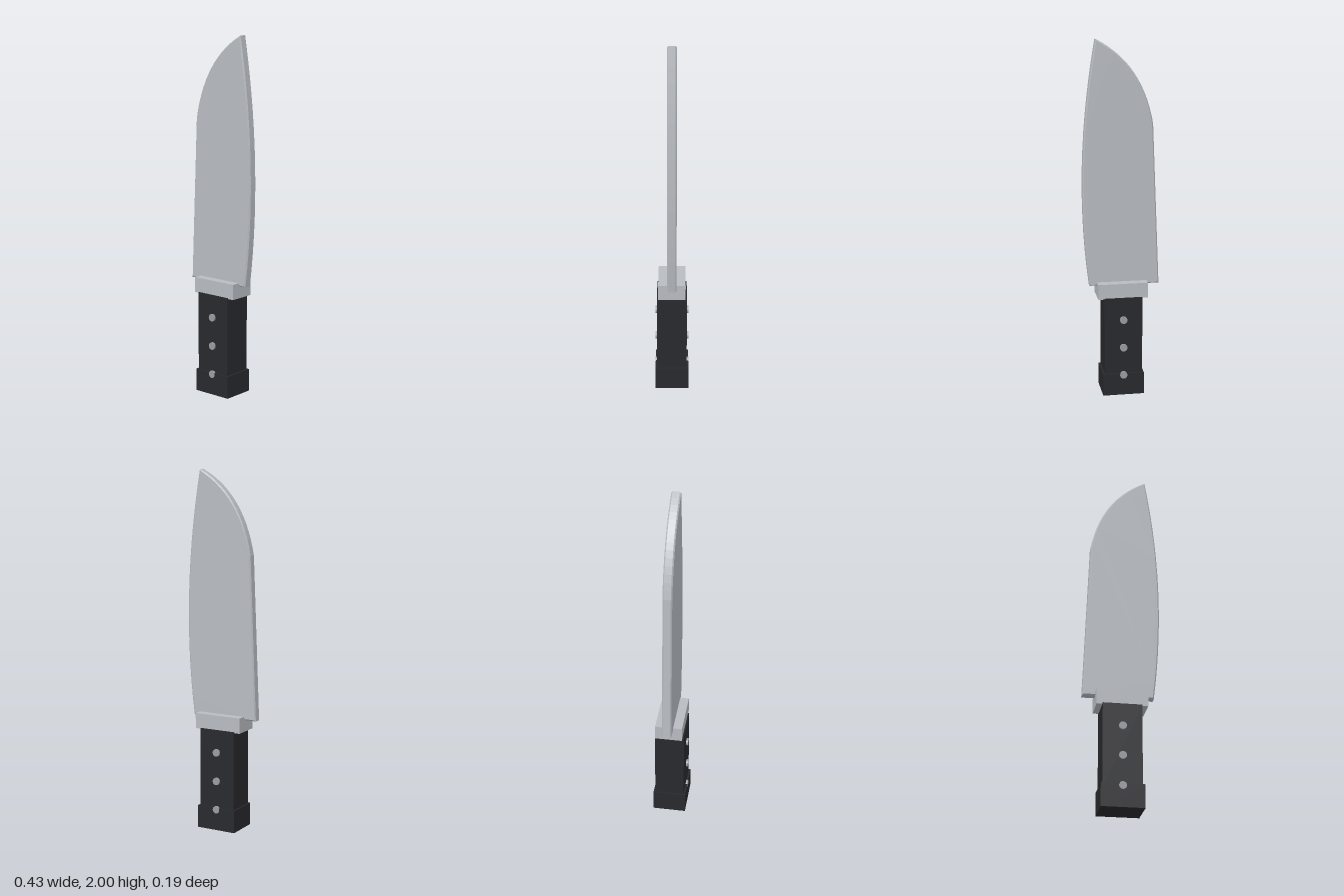
import * as THREE from 'three';

const Z = -0.002; // shared centre plane of all parts

export function createModel() {
  const knife = new THREE.Group();
  knife.name = 'knife';
  const steel = new THREE.MeshStandardMaterial({ color: 0xb8bcc2, flatShading: true });
  const rivetSteel = new THREE.MeshStandardMaterial({ color: 0x9a9ca2 });
  const black = new THREE.MeshStandardMaterial({ color: 0x28292d, flatShading: true });

  const add = (name, geometry, material) => {
    const mesh = new THREE.Mesh(geometry, material);
    mesh.name = name;
    knife.add(mesh);
    return mesh;
  };
  // Box given by its x and y limits and its depth
  const addBox = (name, x0, x1, y0, y1, depth, material) =>
    add(name, new THREE.BoxGeometry(x1 - x0, y1 - y0, depth), material)
      .position.set((x0 + x1) / 2, (y0 + y1) / 2, Z);

  // Blade: outline with a clipped point and a bowed edge, chamfered all round
  const outline = new THREE.Shape();
  outline.moveTo(-0.214, 0.633);
  outline.lineTo(0.177, 0.633);
  outline.quadraticCurveTo(0.264, 1.296, 0.137, 2.0);
  outline.quadraticCurveTo(-0.12, 1.87, -0.177, 1.54);
  outline.closePath();
  const bevel = 0.007, thickness = 0.052;
  const blade = new THREE.ExtrudeGeometry(outline, {
    depth: thickness - 2 * bevel, curveSegments: 14,
    bevelThickness: bevel, bevelSize: bevel, bevelOffset: -bevel, bevelSegments: 1,
  });
  blade.translate(0, 0, Z - thickness / 2 + bevel);
  add('blade', blade, steel);

  // Guard, grip and pommel
  addBox('guard', -0.143, 0.136, 0.567, 0.653, 0.153, steel);
  addBox('grip', -0.111, 0.102, 0.1, 0.572, 0.168, black);
  addBox('pommel', -0.12, 0.113, 0, 0.127, 0.188, black);

  // Rivets through the grip, showing on both faces; the lowest sits half in the pommel
  const rivet = new THREE.CylinderGeometry(0.021, 0.021, 0.19, 16).rotateX(Math.PI / 2);
  for (const y of [0.117, 0.281, 0.445]) {
    add('rivet', rivet, rivetSteel).position.set(-0.004, y, Z);
  }
  return knife;
}
